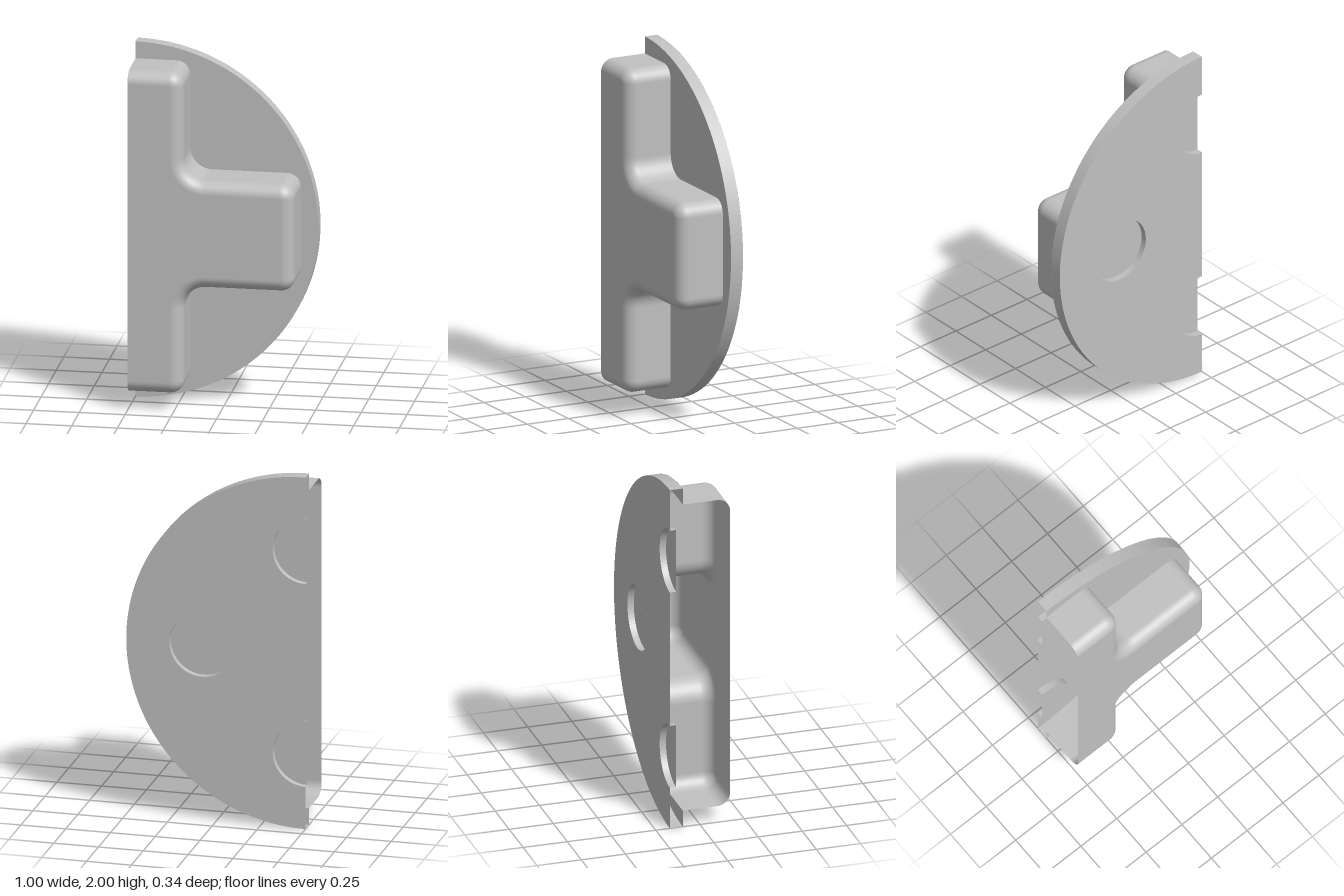
import * as THREE from 'three';

const CUT = -0.5;                                // x of the open cut plane
const BACK = -0.17, PLATE = -0.097, FRONT = 0.17; // z levels
const EDGE = 0.07;                               // rounding of the handle's front edge
const POCKET = { r: 0.183, depth: 0.036, step: 0.577 };

// Handle outline as arcs: centre x, y, signed radius (negative = inner corner), start and end angle
const H = Math.PI / 2, r = 0.075, R = 0.12;
const LOWER = [
  [CUT, 0.095, 0, -H, -H],
  [-0.2 - r, 0.095 + r, r, -H, 0],
  [-0.2 + R, 0.7 - R, -R, 0, -H],
  [0.405 - r, 0.7 + r, r, -H, 0],
];
const ARCS = [...LOWER, ...LOWER.map(([x, y, s, a, b]) => [x, 2 - y, s, -b, -a]).reverse()];

// Outline moved inwards by d, with its outward normals
function outline(d) {
  const ring = [];
  for (const [cx, cy, s, a, b] of ARCS) {
    const n = a === b ? 0 : 12;
    for (let i = 0; i <= n; i++) {
      const t = n ? a + (b - a) * i / n : a;
      const nx = Math.cos(t), ny = Math.sin(t);
      ring.push({ x: cx + nx * (s - d), y: cy + ny * (s - d), nx, ny });
    }
  }
  return ring;
}

// Side wall rising from the plate and rolling over into the front face
function handleWall() {
  const rows = [[0, PLATE, 0]];
  for (let i = 0; i <= 10; i++) {
    const t = H * i / 10;
    rows.push([EDGE * (1 - Math.cos(t)), FRONT - EDGE + EDGE * Math.sin(t), t]);
  }
  const pos = [], nor = [], idx = [];
  let w = 0;
  rows.forEach(([d, z, t], j) => {
    const ring = outline(d);
    w = ring.length;
    ring.forEach((p, i) => {
      pos.push(p.x, p.y, z);
      nor.push(p.nx * Math.cos(t), p.ny * Math.cos(t), Math.sin(t));
      if (j && i) {
        const c = j * w + i, b = c - w;
        idx.push(b - 1, b, c, b - 1, c, c - 1);
      }
    });
  });
  const g = new THREE.BufferGeometry();
  g.setAttribute('position', new THREE.Float32BufferAttribute(pos, 3));
  g.setAttribute('normal', new THREE.Float32BufferAttribute(nor, 3));
  g.setIndex(idx);
  return g;
}

// Turns a geometry inside out
function flip(g) {
  g.index.array.reverse();
  const n = g.attributes.normal.array;
  for (let i = 0; i < n.length; i++) n[i] = -n[i];
  return g;
}

// Open tube along z, starting at the bottom and running round the +x side
function tube(radius, z0, z1, sweep, segments) {
  return new THREE.CylinderGeometry(radius, radius, z1 - z0, segments, 1, true, 0, sweep)
    .rotateX(H).translate(0, 0, (z0 + z1) / 2);
}

function halfDisc() {
  const s = new THREE.Shape();
  s.moveTo(CUT, 0);
  s.absarc(CUT, 1, 1, -H, H, false);
  return s;
}

export function createModel() {
  const model = new THREE.Group();
  const grey = new THREE.MeshStandardMaterial({ color: 0xc0c0c0, side: THREE.DoubleSide });
  grey.name = 'lightGrey';
  const add = (name, geometry, parent = model) => {
    const mesh = new THREE.Mesh(geometry, grey);
    mesh.name = name;
    parent.add(mesh);
    return mesh;
  };

  // Half of a T-shaped hollow handle
  const handle = new THREE.Group();
  handle.name = 'handle';
  model.add(handle);
  add('handleWall', handleWall(), handle);
  const face = new THREE.Shape(outline(EDGE).map(p => new THREE.Vector2(p.x, p.y)));
  add('handleFront', new THREE.ShapeGeometry(face).translate(0, 0, FRONT), handle);

  // Half-disc plate: rim, front around the handle, back with pocket openings
  const plate = new THREE.Group();
  plate.name = 'plate';
  model.add(plate);
  add('plateRim', tube(1, BACK, PLATE, Math.PI, 64).translate(CUT, 1, 0), plate);

  const front = halfDisc();
  outline(0).reverse().forEach(p => front.lineTo(p.x, p.y));
  add('plateFront', new THREE.ShapeGeometry(front, 64).translate(0, 0, PLATE), plate);

  const { r: pr, depth, step } = POCKET;
  const back = halfDisc();
  for (const y of [1 + step, 1 - step]) {
    back.lineTo(CUT, y + pr);
    back.absarc(CUT, y, pr, H, -H, true);
  }
  const hole = new THREE.Path();
  hole.absarc(CUT + step, 1, pr, 0, Math.PI * 2, true);
  back.holes.push(hole);
  add('plateBack', flip(new THREE.ShapeGeometry(back, 64)).translate(0, 0, BACK), plate);

  // Round pockets sunk into the back: one whole, two halved by the cut
  for (const [x, y, sweep] of [
    [CUT + step, 1, Math.PI * 2],
    [CUT, 1 + step, Math.PI],
    [CUT, 1 - step, Math.PI],
  ]) {
    const pocket = new THREE.Group();
    pocket.name = 'pocket';
    pocket.position.set(x, y, 0);
    model.add(pocket);
    add('pocketWall', flip(tube(pr, BACK, BACK + depth, sweep, 48)), pocket);
    const floor = new THREE.CircleGeometry(pr, 48, -H, sweep);
    add('pocketFloor', flip(floor).translate(0, 0, BACK + depth), pocket);
  }
  return model;
}
